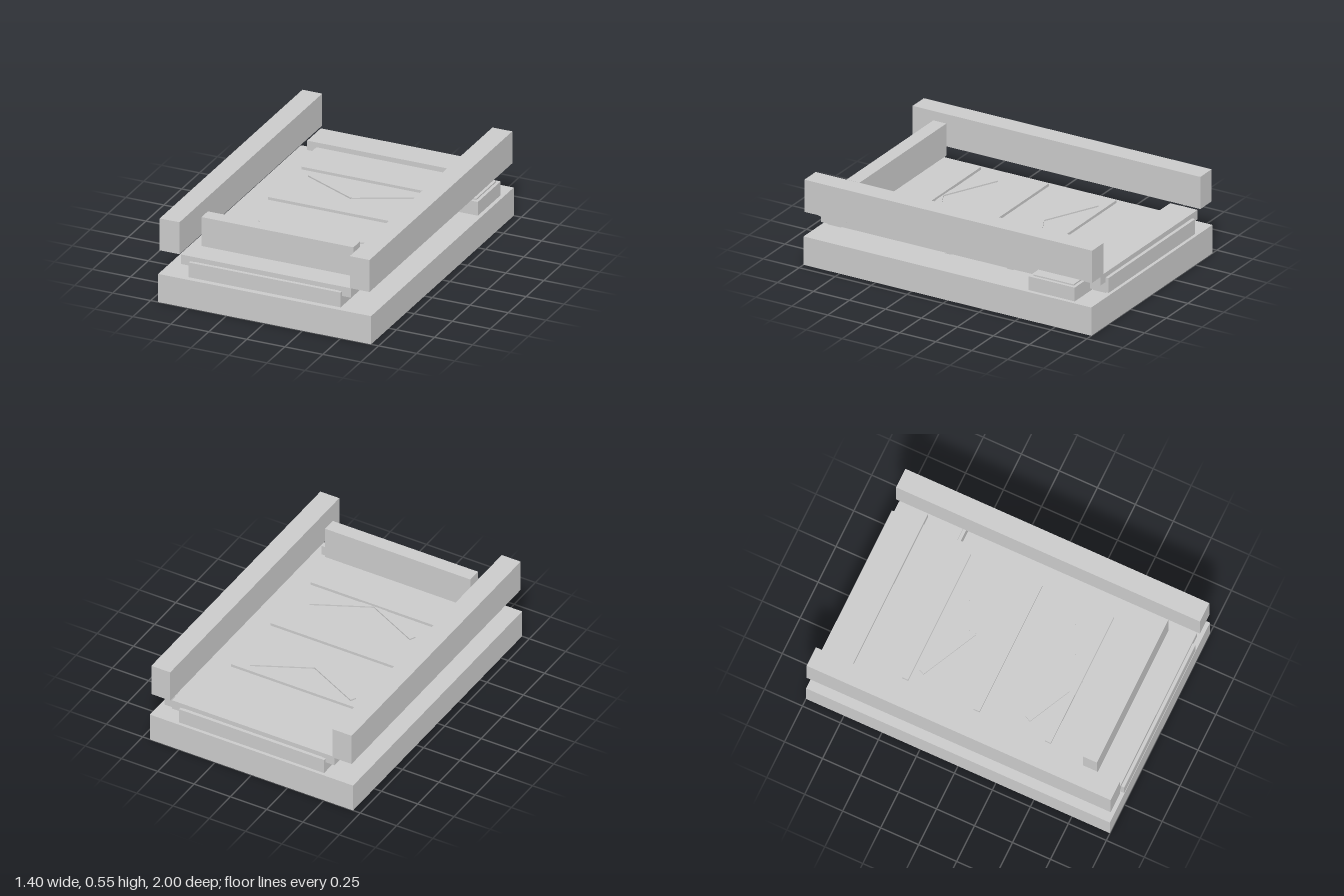
import * as THREE from 'three';

export function createModel() {
  const model = new THREE.Group();
  const material = new THREE.MeshStandardMaterial({ color: 0xcccccc, flatShading: true });

  const add = (name, geometry, x, y, z) => {
    const mesh = new THREE.Mesh(geometry, material);
    mesh.name = name;
    mesh.position.set(x, y, z);
    model.add(mesh);
    return mesh;
  };

  // Box given by its extents along each axis
  const box = (name, [x0, x1], [y0, y1], [z0, z1]) =>
    add(name, new THREE.BoxGeometry(x1 - x0, y1 - y0, z1 - z0),
      (x0 + x1) / 2, (y0 + y1) / 2, (z0 + z1) / 2);

  // Roller lying across the model
  const roller = (name, radius, length, sides, y, z) =>
    add(name, new THREE.CylinderGeometry(radius, radius, length, sides).rotateZ(Math.PI / 2), 0, y, z);

  // Base slab and belt bed
  box('base', [-0.7, 0.7], [0, 0.185], [-1, 1]);
  box('belt', [-0.5, 0.5], [0.203, 0.3], [-1, 1]);

  // Side rails
  box('leftRail', [0.56, 0.69], [0.342, 0.552], [-1, 1]);
  box('rightRail', [-0.69, -0.56], [0.342, 0.552], [-1, 1]);

  // End caps with their rollers
  for (const [end, s] of [['front', 1], ['rear', -1]]) {
    const z = [0.79 * s, 0.98 * s].sort((a, b) => a - b);
    box(end + 'Cap', [-0.56, 0.56], [0.27, 0.332], z);
    roller(end + 'Roller', 0.08, 0.95, 16, 0.25, 0.92 * s);
  }

  // Small idlers set into the base
  for (const z of [0.13, -0.3]) roller('idler', 0.03, 0.95, 8, 0.166, z);

  // Upright board across the front
  box('frontBoard', [-0.5, 0.5], [0.312, 0.522], [0.73, 0.82]);

  // Cross cleats
  for (const z of [-0.47, 0, 0.47]) {
    box('cleat', [-0.44, 0.44], [0.31, 0.328], [z - 0.019, z + 0.019]);
  }

  // V-shaped guides pointing to the front
  for (const z of [-0.315, 0.385]) {
    for (const s of [-1, 1]) {
      const arm = add('chevronArm', new THREE.BoxGeometry(0.4, 0.009, 0.04), 0.175 * s, 0.309, z);
      arm.rotation.y = 0.455 * s;
    }
  }

  // Drive box with a thin lid, rear left
  box('driveBox', [0.475, 0.675], [0.185, 0.275], [-0.87, -0.55]);
  box('driveLid', [0.495, 0.655], [0.275, 0.284], [-0.85, -0.57]);

  return model;
}
